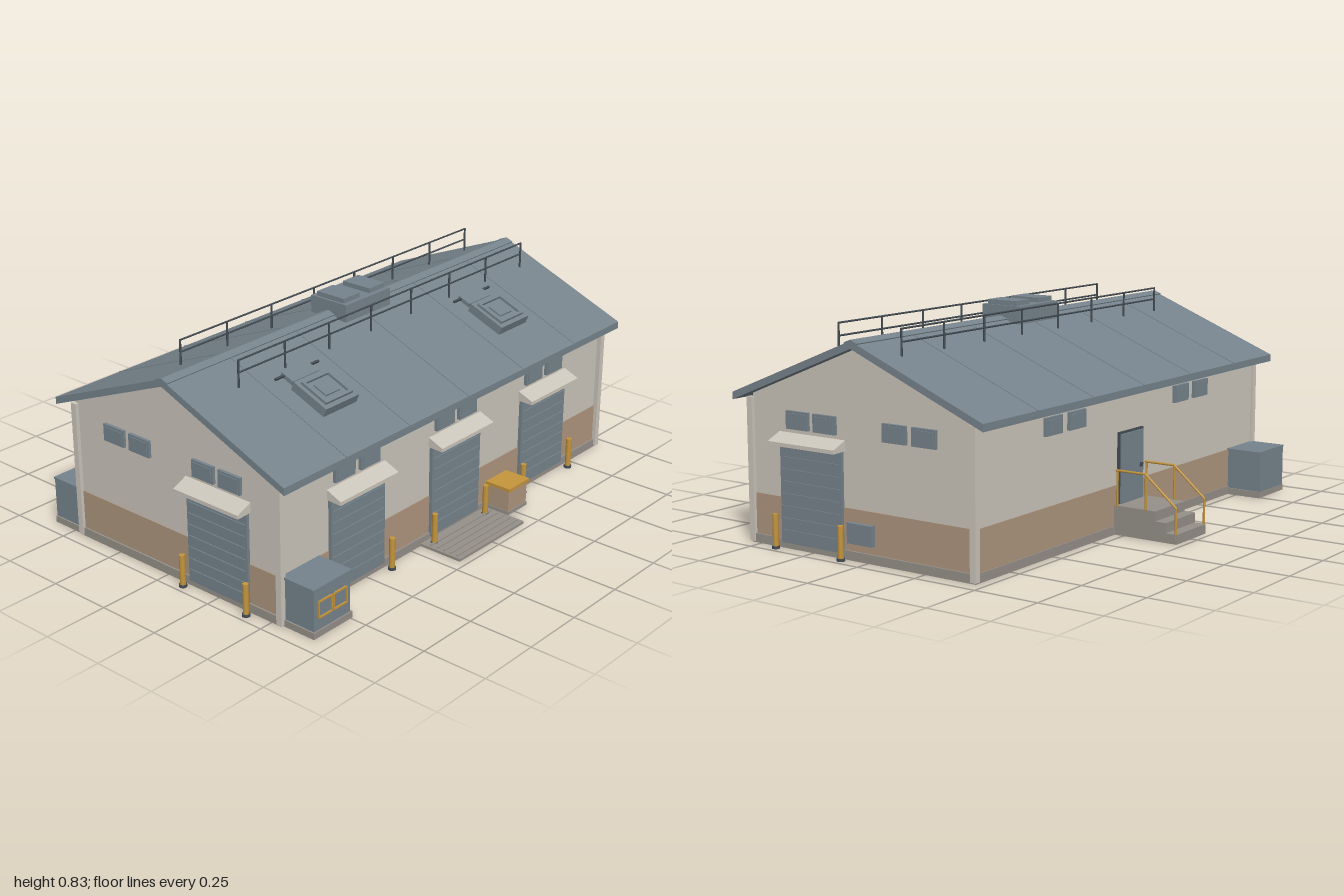
import * as THREE from 'three';

const mat = (name, color) => Object.assign(new THREE.MeshStandardMaterial({ color }), { name });
const steel = mat('blue grey steel', 0x76838c);
const darkSteel = mat('dark steel', 0x434c53);
const plaster = mat('pale plaster', 0xcbc6bc);
const tan = mat('tan band', 0xae967e);
const concrete = mat('concrete', 0x969089);
const yellow = mat('safety yellow', 0xc4953c);

const RIDGE_Z = 0.0375, RIDGE_Y = 0.77, SLOPE = 0.404;

function add(parent, name, geometry, material, x = 0, y = 0, z = 0) {
  const mesh = new THREE.Mesh(geometry, material);
  mesh.name = name;
  mesh.position.set(x, y, z);
  parent.add(mesh);
  return mesh;
}

// box given by its min and max on each axis
function box(parent, name, material, x0, x1, y0, y1, z0, z1) {
  return add(parent, name, new THREE.BoxGeometry(x1 - x0, y1 - y0, z1 - z0), material,
    (x0 + x1) / 2, (y0 + y1) / 2, (z0 + z1) / 2);
}

// (z, y) profile swept along x, centred on x
function prism(parent, name, material, points, width, x = 0) {
  const shape = new THREE.Shape(points.map(([a, b]) => new THREE.Vector2(a, b)));
  const geo = new THREE.ExtrudeGeometry(shape, { depth: width, bevelEnabled: false });
  geo.translate(0, 0, -width / 2).rotateY(-Math.PI / 2);
  return add(parent, name, geo, material, x);
}

// straight bar between two points
function bar(parent, name, material, a, b, r) {
  const p = new THREE.Vector3(...a), q = new THREE.Vector3(...b);
  const mesh = add(parent, name, new THREE.CylinderGeometry(r, r, p.distanceTo(q), 8), material);
  mesh.position.copy(p).lerp(q, 0.5);
  mesh.quaternion.setFromUnitVectors(new THREE.Vector3(0, 1, 0), q.sub(p).normalize());
  return mesh;
}

function group(parent, name, x = 0, y = 0, z = 0, turn = 0) {
  const g = new THREE.Group();
  g.name = name;
  g.position.set(x, y, z);
  g.rotation.y = turn;
  parent.add(g);
  return g;
}

function windowPane(wall, x, w = 0.102) {
  box(wall, 'windowFrame', steel, x - w / 2, x + w / 2, 0.432, 0.497, -0.005, 0.01);
  box(wall, 'windowGlass', steel, x - w / 2 + 0.008, x + w / 2 - 0.008, 0.44, 0.489, 0.008, 0.013);
}

function bollard(parent, x, z) {
  const g = group(parent, 'bollard', x, 0, z);
  add(g, 'bollardPost', new THREE.CylinderGeometry(0.011, 0.011, 0.125, 12), yellow, 0, 0.0625);
  add(g, 'bollardBase', new THREE.CylinderGeometry(0.015, 0.015, 0.01, 12), darkSteel, 0, 0.005);
}

// roller door with slats and a sloping canopy
function rollerDoor(wall, x) {
  const g = group(wall, 'rollerDoor', x);
  box(g, 'doorLeaf', steel, -0.142, 0.142, 0.02, 0.382, -0.005, 0.011);
  for (let i = 1; i < 8; i++) {
    box(g, 'doorSlat', steel, -0.135, 0.135, 0.02 + i * 0.044, 0.025 + i * 0.044, 0.01, 0.015);
  }
  prism(g, 'doorCanopy', plaster, [[0, 0.38], [0.062, 0.378], [0.062, 0.392], [0, 0.418]], 0.305);
}

function cabinet(parent, name, x0, x1, z0, z1) {
  const g = group(parent, name);
  box(g, 'cabinetBase', concrete, x0 - 0.006, x1 + 0.006, 0, 0.025, z0, z1 + 0.005);
  box(g, 'cabinetBody', steel, x0, x1, 0.025, 0.178, z0, z1);
  box(g, 'cabinetLid', steel, x0 - 0.005, x1 + 0.005, 0.178, 0.186, z0, z1 + 0.004);
  return g;
}

function buildShell(root) {
  const top = (z) => 0.742 - SLOPE * Math.abs(z - RIDGE_Z);
  prism(root, 'walls', plaster,
    [[-0.457, 0.02], [0.532, 0.02], [0.532, top(0.532)], [RIDGE_Z, 0.742], [-0.457, top(-0.457)]], 1.87);
  box(root, 'plinth', concrete, -0.945, 0.945, 0, 0.033, -0.464, 0.542);
  // painted lower band
  box(root, 'wallBand', tan, -0.938, 0.938, 0.033, 0.182, -0.46, 0.535);
  for (const x of [-1, 1]) for (const z of [-0.455, 0.538]) {
    box(root, 'cornerPost', plaster, x * 0.938 - 0.012, x * 0.938 + 0.012, 0.005, 0.53, z - 0.012, z + 0.012);
  }
}

function buildRoof(root) {
  const half = 0.556, drop = half * SLOPE, t = 0.027;
  prism(root, 'roof', steel, [
    [RIDGE_Z - half, RIDGE_Y - drop], [RIDGE_Z - half, RIDGE_Y - drop - t], [RIDGE_Z, RIDGE_Y - t],
    [RIDGE_Z + half, RIDGE_Y - drop - t], [RIDGE_Z + half, RIDGE_Y - drop], [RIDGE_Z, RIDGE_Y],
  ], 1.95);

  for (const turn of [0, Math.PI]) {
    const side = group(root, 'roofSide', 0, RIDGE_Y, RIDGE_Z, turn);
    const slope = group(side, 'roofSlope');
    slope.rotation.x = Math.atan(SLOPE);
    box(slope, 'ridgeCap', steel, -0.975, 0.975, -0.002, 0.004, 0, 0.03);
    for (let i = -2; i <= 2; i++) {
      box(slope, 'roofSeam', steel, i * 0.334 - 0.002, i * 0.334 + 0.002, -0.002, 0.002, 0.03, 0.598);
    }
    if (turn === 0) for (const x of [-0.505, 0.495]) buildRoofUnit(slope, x);
  }

  // ridge ventilator with two hoods
  box(root, 'ridgeVent', steel, -0.128, 0.122, 0.745, 0.812, -0.048, 0.123);
  for (const x of [-0.075, 0.07]) {
    box(root, 'ventHood', steel, x - 0.044, x + 0.044, 0.81, 0.83, -0.026, 0.103);
  }

  // safety rails on both slopes
  for (const z of [-0.095, 0.185]) {
    const rail = group(root, 'roofRail', 0, 0, z);
    const foot = RIDGE_Y - SLOPE * Math.abs(z - RIDGE_Z);
    for (let i = 0; i < 8; i++) {
      const x = -0.755 + i * 1.62 / 7;
      bar(rail, 'railPost', darkSteel, [x, foot - 0.01, 0], [x, 0.81, 0], 0.004);
    }
    for (const y of [0.81, 0.765]) bar(rail, 'railBar', darkSteel, [-0.757, y, 0], [0.867, y, 0], 0.0035);
  }
}

// hatch lying on the front slope
function buildRoofUnit(slope, x) {
  const g = group(slope, 'roofHatch', x, 0, 0.335);
  box(g, 'hatchBody', steel, -0.086, 0.086, -0.01, 0.034, -0.08, 0.08);
  for (const s of [-1, 1]) {
    box(g, 'hatchRim', steel, s * 0.064 - 0.006, s * 0.064 + 0.006, 0.03, 0.044, -0.062, 0.062);
    box(g, 'hatchRim', steel, -0.058, 0.058, 0.03, 0.044, s * 0.056 - 0.006, s * 0.056 + 0.006);
  }
  box(g, 'hatchPanel', steel, -0.036, 0.036, 0.03, 0.04, -0.03, 0.03);
  box(g, 'hatchHinge', steel, -0.067, 0.067, -0.002, 0.016, -0.152, -0.095);
  box(g, 'hatchBar', darkSteel, -0.112, 0.112, 0.006, 0.014, -0.142, -0.134);
}

function buildWalls(root) {
  const front = group(root, 'frontWall', 0, 0, 0.535);
  for (const x of [-0.55, 0, 0.547]) {
    rollerDoor(front, x);
    for (const s of [-1, 1]) {
      windowPane(front, x + s * 0.066);
      bollard(root, x + s * 0.153, 0.572);
    }
  }

  for (const s of [-1, 1]) {
    const wall = group(root, s > 0 ? 'leftWall' : 'rightWall', s * 0.937, 0, 0, s * Math.PI / 2);
    rollerDoor(wall, -s * 0.253);
    for (const z of [0.315, 0.19, -0.122, -0.25]) windowPane(wall, -s * z);
    for (const z of [0.405, 0.1]) bollard(root, s * 0.97, z);
    if (s > 0) box(wall, 'meterBox', steel, -0.083, 0.028, 0.063, 0.136, 0, 0.02);
  }

  const back = group(root, 'backWall', 0, 0, -0.459, Math.PI);
  for (const x of [-0.5, -0.355, 0.355, 0.5]) windowPane(back, x);
  box(back, 'backDoorFrame', darkSteel, -0.082, 0.082, 0.11, 0.376, -0.004, 0.008);
  box(back, 'backDoor', steel, -0.075, 0.075, 0.11, 0.369, 0, 0.013);
  box(back, 'doorHandle', darkSteel, 0.05, 0.06, 0.23, 0.245, 0.012, 0.022);
}

function buildBackSteps(root) {
  prism(root, 'backSteps', concrete, [
    [-0.45, 0], [-0.45, 0.11], [-0.635, 0.11], [-0.635, 0.073],
    [-0.68, 0.073], [-0.68, 0.036], [-0.725, 0.036], [-0.725, 0],
  ], 0.208);
  for (const x of [-0.1, 0.1]) {
    const g = group(root, 'stepRail', x);
    bar(g, 'handrail', yellow, [0, 0.24, -0.465], [0, 0.24, -0.592], 0.0045);
    bar(g, 'handrail', yellow, [0, 0.24, -0.59], [0, 0.13, -0.721], 0.0045);
    bar(g, 'railPost', yellow, [0, 0.1, -0.471], [0, 0.24, -0.471], 0.0045);
    bar(g, 'railPost', yellow, [0, 0.1, -0.592], [0, 0.24, -0.592], 0.0045);
    bar(g, 'railPost', yellow, [0, 0.01, -0.719], [0, 0.132, -0.719], 0.0045);
  }
}

function buildYard(root) {
  // cabinets at the right-hand corners
  const unit = cabinet(root, 'frontCabinet', -0.93, -0.747, 0.535, 0.678);
  for (const x of [-0.876, -0.801]) {
    for (const s of [-1, 1]) {
      box(unit, 'grilleFrame', yellow, x + s * 0.033 - 0.003, x + s * 0.033 + 0.003, 0.072, 0.132, 0.677, 0.684);
      box(unit, 'grilleFrame', yellow, x - 0.03, x + 0.03, 0.099 + s * 0.03, 0.105 + s * 0.03, 0.677, 0.684);
    }
  }
  cabinet(root, 'backCabinet', -0.935, -0.743, -0.605, -0.455);

  // loading ramp with grip strips
  box(root, 'ramp', concrete, -0.197, 0.193, 0, 0.01, 0.535, 0.722);
  for (let i = 0; i < 5; i++) {
    box(root, 'rampStrip', concrete, -0.185, 0.181, 0.009, 0.014, 0.575 + i * 0.03, 0.583 + i * 0.03);
  }

  // storage bin
  box(root, 'binBase', concrete, 0.208, 0.326, 0, 0.014, 0.535, 0.64);
  box(root, 'binBody', tan, 0.21, 0.324, 0.014, 0.1, 0.535, 0.637);
  box(root, 'binLid', yellow, 0.204, 0.331, 0.098, 0.111, 0.535, 0.644);
}

export function createModel() {
  const root = new THREE.Group();
  root.name = 'warehouse';
  buildShell(root);
  buildRoof(root);
  buildWalls(root);
  buildBackSteps(root);
  buildYard(root);
  return root;
}
